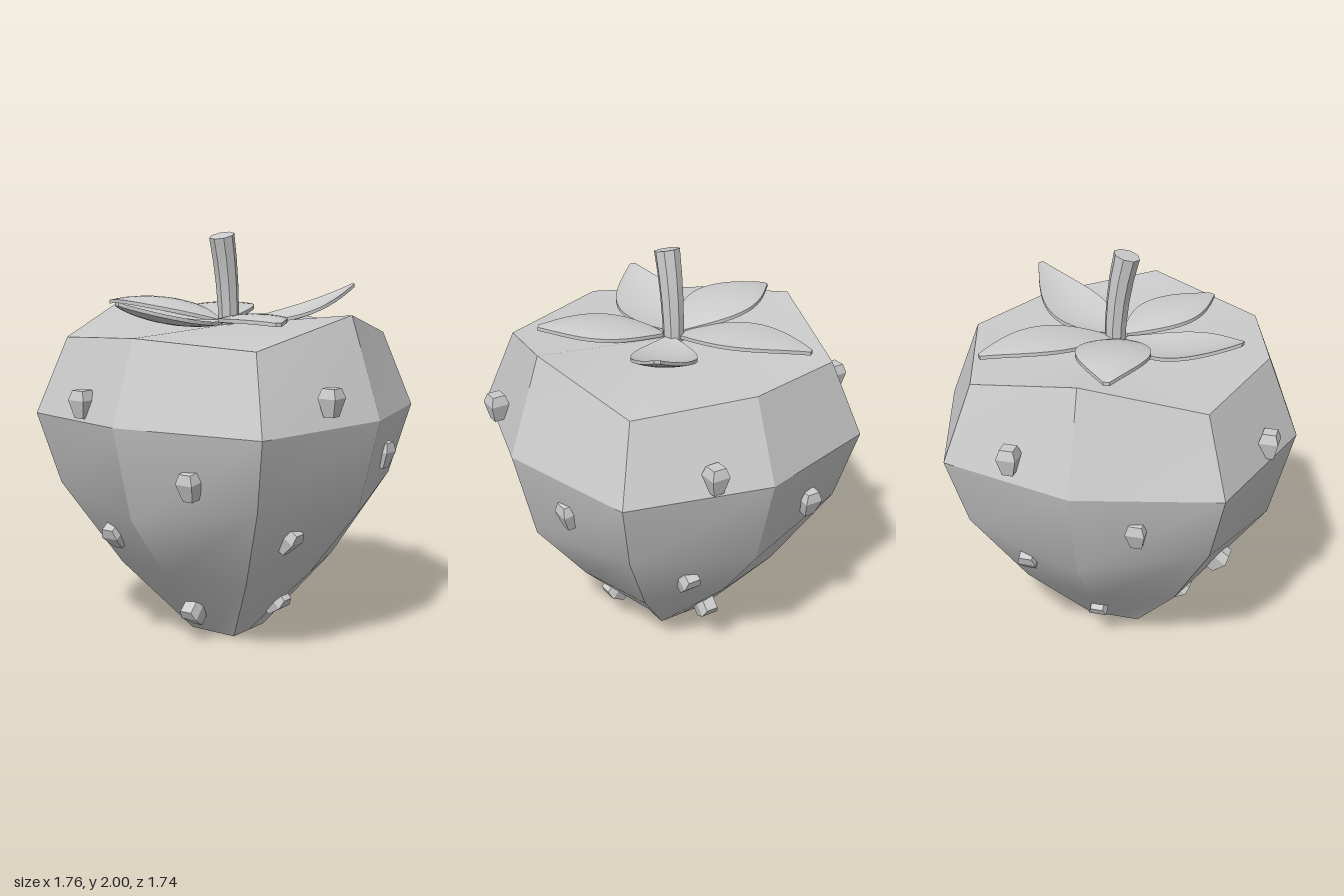
import * as THREE from 'three';
import { toCreasedNormals } from 'three/addons/utils/BufferGeometryUtils.js';

const material = new THREE.MeshStandardMaterial({ color: 0xcccccc });

function addMesh(parent, name, geometry) {
  const mesh = new THREE.Mesh(geometry, material);
  mesh.name = name;
  parent.add(mesh);
  return mesh;
}

// Move every vertex of a geometry by a rule
function deform(geometry, rule) {
  const p = geometry.attributes.position;
  const v = new THREE.Vector3();
  for (let i = 0; i < p.count; i++) {
    rule(v.fromBufferAttribute(p, i));
    p.setXYZ(i, v.x, v.y, v.z);
  }
  return geometry;
}

// Fruit: eight-sided rings, with side, front/back and diagonal corners set apart
function bodyGeometry() {
  // [side x, side y], [front z, front y], [diagonal x and z, diagonal y]
  const rings = [
    [[0.13, 0], [0.13, 0], [0.13, 0]],
    [[0.5, 0.37], [0.5, 0.37], [0.38, 0.36]],
    [[0.76, 0.7], [0.76, 0.7], [0.59, 0.78]],
    [[0.88, 1.15], [0.87, 1.15], [0.67, 1.13]],
    [[0.73, 1.54], [0.71, 1.63], [0.56, 1.5]],
  ];
  const positions = [];
  const index = [];
  for (const [side, front, diagonal] of rings) {
    for (let i = 0; i < 8; i++) {
      const [r, y] = i % 2 ? diagonal : i % 4 ? side : front;
      const a = (i * Math.PI) / 4;
      positions.push(r * Math.round(Math.sin(a)), y, r * Math.round(Math.cos(a)));
    }
  }
  const last = (rings.length - 1) * 8;
  const bottom = rings.length * 8;
  const top = bottom + 1;
  positions.push(0, 0, 0, 0, 1.55, 0);
  for (let i = 0; i < 8; i++) {
    const j = (i + 1) % 8;
    for (let k = 0; k < last; k += 8) {
      index.push(k + i, k + j, k + 8 + j, k + i, k + 8 + j, k + 8 + i);
    }
    index.push(bottom, j, i, top, last + i, last + j);
  }
  const geometry = new THREE.BufferGeometry();
  geometry.setAttribute('position', new THREE.Float32BufferAttribute(positions, 3));
  geometry.setIndex(index);
  return toCreasedNormals(geometry, 0.52);
}

// Seed: square block, widest above the middle and tapering to the bottom
function seedGeometry() {
  const widths = [0.026, 0.046, 0.032];
  const heights = [-0.07, 0.015, 0.06];
  const geometry = deform(new THREE.BoxGeometry(2, 2, 2, 1, 2, 1), (v) => {
    const level = Math.round(v.y) + 1;
    v.set(v.x * widths[level], heights[level], v.z * widths[level]);
  });
  return toCreasedNormals(geometry, 0.2);
}

// Leaf: thin slab shaped to a pointed oval, lifted along its length and cupped
function leafGeometry(length, width, midY, tipY, cup) {
  const baseY = 1.565;
  const geometry = deform(new THREE.BoxGeometry(2, 0.018, 1, 6, 1, 14), (v) => {
    const t = v.z + 0.5;
    const half = 0.014 + (width / 2) * Math.sin(Math.PI * Math.pow(t, 0.95));
    const lift = (1 - t) * (1 - 2 * t) * baseY + 4 * t * (1 - t) * midY + t * (2 * t - 1) * tipY;
    v.set(v.x * half, v.y + lift + cup * v.x * v.x * Math.sin(Math.PI * t), 0.04 + t * (length - 0.04));
  });
  return toCreasedNormals(geometry, 0.7);
}

// Stem: eight-sided, leaning over towards the top
function stemGeometry() {
  const geometry = deform(new THREE.CylinderGeometry(0.062, 0.05, 0.46, 8, 4), (v) => {
    const t = v.y / 0.46 + 0.5;
    v.y += 1.755 + 0.27 * t * t * v.x;
    v.x += 0.022 - 0.058 * t * t;
  });
  return toCreasedNormals(geometry, 0.5);
}

export function createModel() {
  const model = new THREE.Group();
  model.name = 'strawberry';
  addMesh(model, 'body', bodyGeometry());

  // Seeds: the same four on each quarter, [x, y, z, tilt]
  const seeds = new THREE.Group();
  seeds.name = 'seeds';
  model.add(seeds);
  const seedShape = seedGeometry();
  const pattern = [
    [-0.3, 1.27, 0.79, 0],
    [0.28, 0.94, 0.73, 0.14],
    [-0.3, 0.6, 0.57, 0.62],
    [-0.02, 0.19, 0.315, 0.8],
  ];
  for (let q = 0; q < 4; q++) {
    const quarter = new THREE.Group();
    quarter.name = 'seedQuarter';
    quarter.rotation.y = (q * Math.PI) / 2;
    seeds.add(quarter);
    const shift = q % 2 ? 0.04 : 0;
    for (const [x, y, z, tilt] of pattern) {
      const seed = addMesh(quarter, 'seed', seedShape);
      seed.position.set(x + shift, y - shift, z);
      seed.rotation.x = tilt;
    }
  }

  // Leaves: [tip x, tip z, width, middle height, tip height, cup]
  const leaves = new THREE.Group();
  leaves.name = 'leaves';
  model.add(leaves);
  const leafTable = [
    [-0.12, -0.66, 0.32, 1.66, 1.64, -0.02],
    [0.56, -0.43, 0.27, 1.62, 1.58, -0.01],
    [0.53, 0.4, 0.28, 1.58, 1.73, 0.02],
    [-0.34, 0.53, 0.28, 1.62, 1.6, -0.02],
    [-0.63, -0.18, 0.31, 1.575, 1.68, 0.02],
  ];
  for (const [x, z, width, midY, tipY, cup] of leafTable) {
    const length = Math.hypot(x, z + 0.01);
    const leaf = addMesh(leaves, 'leaf', leafGeometry(length, width, midY, tipY, cup));
    leaf.position.z = -0.01;
    leaf.rotation.y = Math.atan2(x, z + 0.01);
  }

  const stem = addMesh(model, 'stem', stemGeometry());
  stem.position.z = -0.012;
  return model;
}
